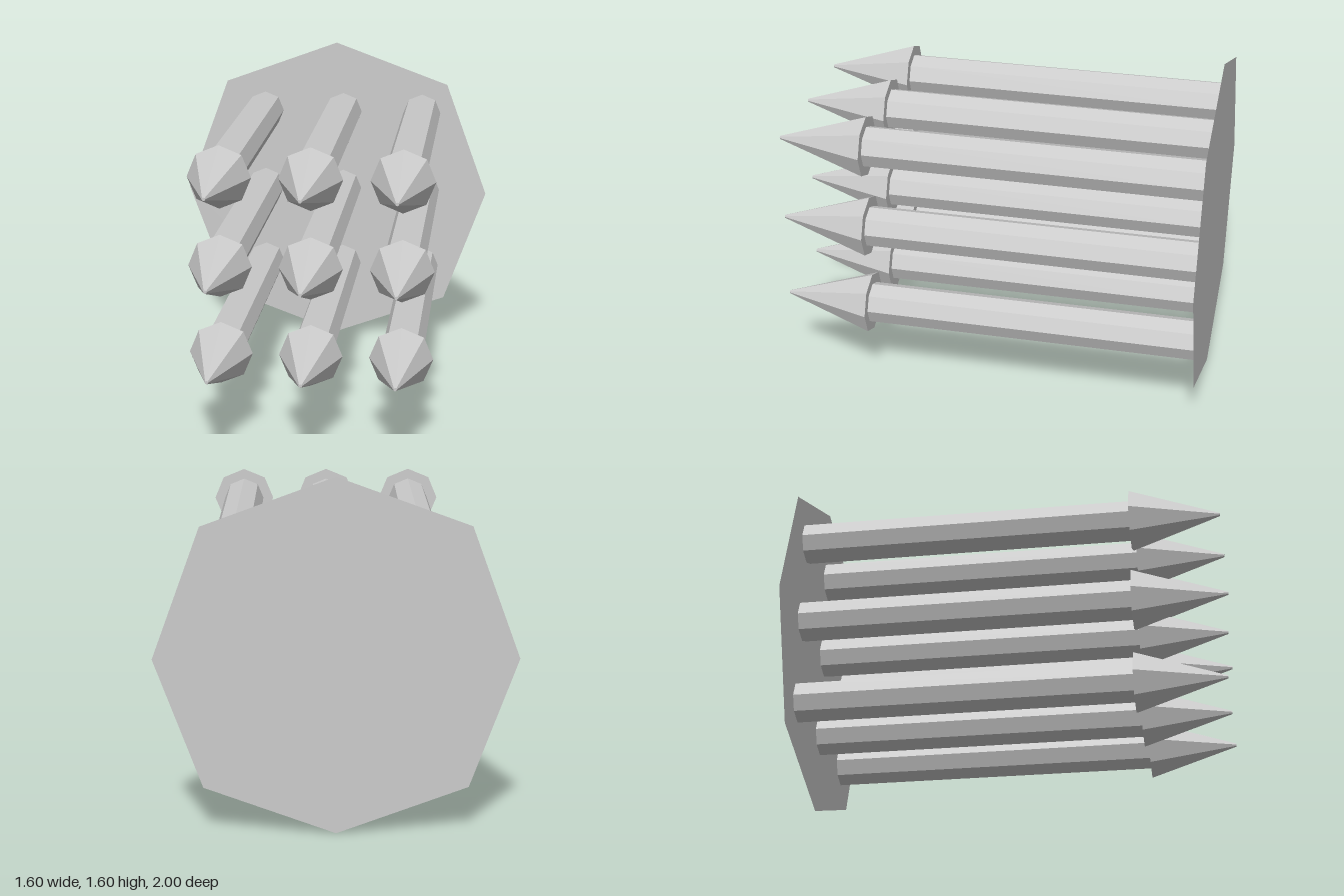
import * as THREE from 'three';

export function createModel() {
  const model = new THREE.Group();
  model.name = 'spikeTrap';
  const solid = new THREE.MeshStandardMaterial({ color: 0xcccccc, flatShading: true });
  const thin = new THREE.MeshStandardMaterial({ color: 0xcccccc, flatShading: true, side: THREE.DoubleSide });

  // Flat eight-cornered back plate, its diagonal corners slightly further out
  const corners = [];
  for (let i = 0; i < 8; i++) {
    const a = (i * Math.PI) / 4;
    const r = i % 2 ? 0.83 : 0.802;
    corners.push(new THREE.Vector2(r * Math.cos(a), r * Math.sin(a)));
  }
  const plate = new THREE.Mesh(new THREE.ShapeGeometry(new THREE.Shape(corners)), thin);
  plate.name = 'backPlate';
  plate.position.set(0, 0.802, -1);
  model.add(plate);

  // Octagonal shaft and blunt-tipped cone, both lying along z
  const neck = 0.58;
  const shaftGeo = new THREE.CylinderGeometry(0.098, 0.098, neck + 1, 8, 1, true)
    .rotateX(Math.PI / 2).translate(0, 0, (neck - 1) / 2);
  const tipGeo = new THREE.CylinderGeometry(0.008, 0.148, 1 - neck, 8)
    .rotateX(Math.PI / 2).translate(0, 0, (neck + 1) / 2);

  // Three by three grid of spikes
  for (let row = 0; row < 3; row++) {
    for (let col = 0; col < 3; col++) {
      const spike = new THREE.Group();
      spike.name = `spike${row * 3 + col + 1}`;
      const shaft = new THREE.Mesh(shaftGeo, solid);
      shaft.name = 'shaft';
      const tip = new THREE.Mesh(tipGeo, solid);
      tip.name = 'tip';
      spike.add(shaft, tip);
      spike.position.set(-0.383 + col * 0.419, 0.398 + row * 0.419, 0);
      model.add(spike);
    }
  }
  return model;
}
